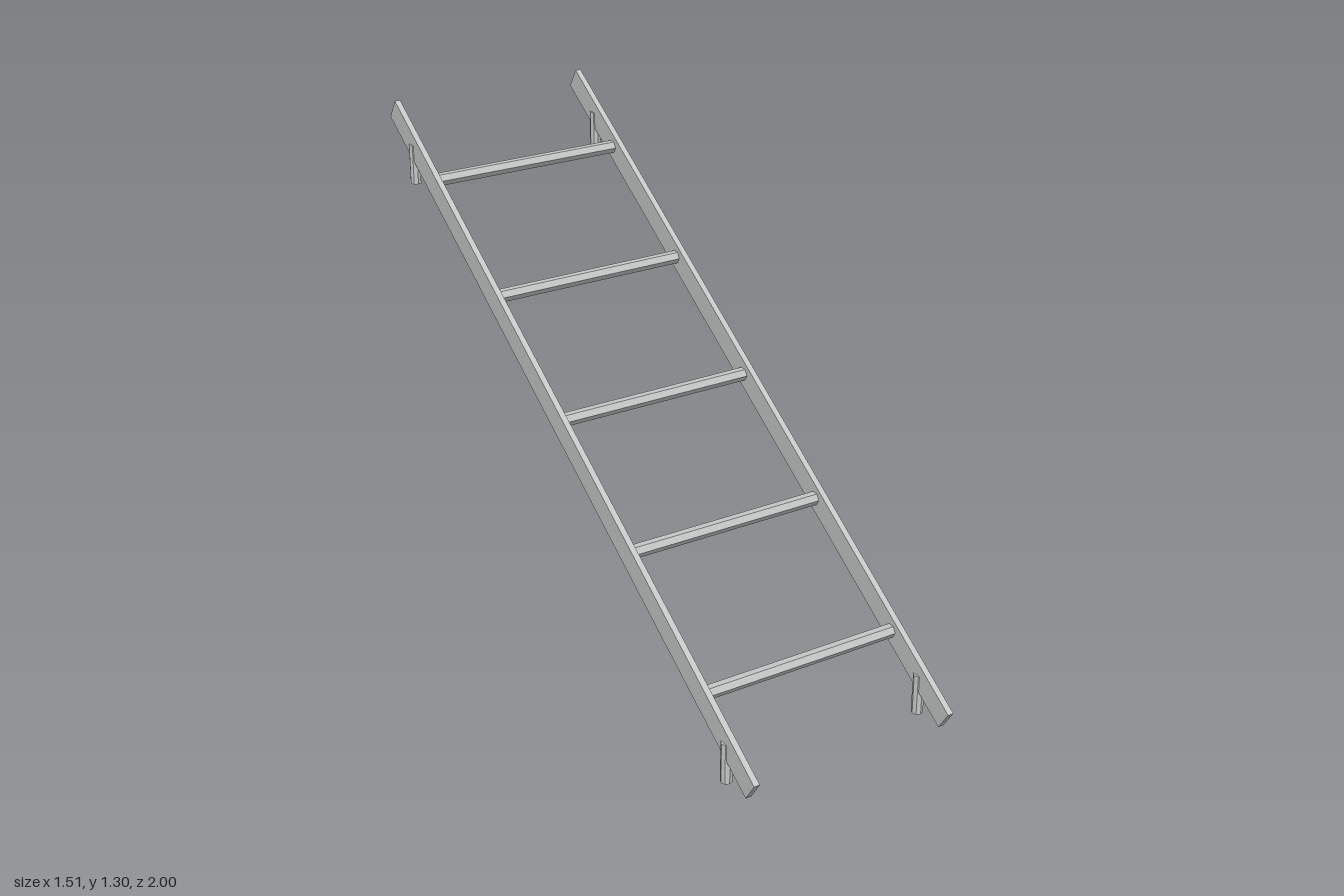
import * as THREE from 'three';

export function createModel() {
  const steel = new THREE.MeshStandardMaterial({ color: 0xc4c8c6 });
  steel.name = 'galvanised steel';
  steel.flatShading = true;

  const ladder = new THREE.Group();
  ladder.name = 'ladder';

  const slope = Math.atan2(1.228, 1.917); // pitch of the rails
  const midY = 0.655;                     // height of the ladder's centre
  const half = 0.3;                       // half the distance between rails
  const heightAt = z => midY - z * Math.tan(slope);

  const add = (geometry, name, x, y, z) => {
    const mesh = new THREE.Mesh(geometry, steel);
    mesh.name = name;
    mesh.position.set(x, y, z);
    ladder.add(mesh);
    return mesh;
  };

  const railGeometry = new THREE.BoxGeometry(0.017, 0.067, 2.277);
  const legLength = 0.116;
  const legGeometry = new THREE.CylinderGeometry(0.016, 0.016, legLength, 8);

  // Sloping side rails, each with a short leg under either end
  for (const [side, word] of [[-1, 'right'], [1, 'left']]) {
    add(railGeometry, word + 'Rail', side * half, midY, 0).rotation.x = slope;
    for (const [z, end] of [[0.84, 'Lower'], [-0.84, 'Upper']]) {
      add(legGeometry, word + end + 'Leg', side * half, heightAt(z) - legLength / 2, z);
    }
  }

  // Five hexagonal rungs with flat tops
  const rungGeometry = new THREE.CylinderGeometry(0.019, 0.019, half * 2, 6);
  rungGeometry.rotateZ(Math.PI / 2);
  for (let i = -2; i <= 2; i++) {
    const z = i * 0.3615;
    add(rungGeometry, 'rung' + (i + 3), 0, heightAt(z), z);
  }

  // The whole ladder is turned to run diagonally
  ladder.rotation.y = Math.PI / 6;
  const model = new THREE.Group();
  model.name = 'ladderModel';
  model.add(ladder);
  return model;
}
